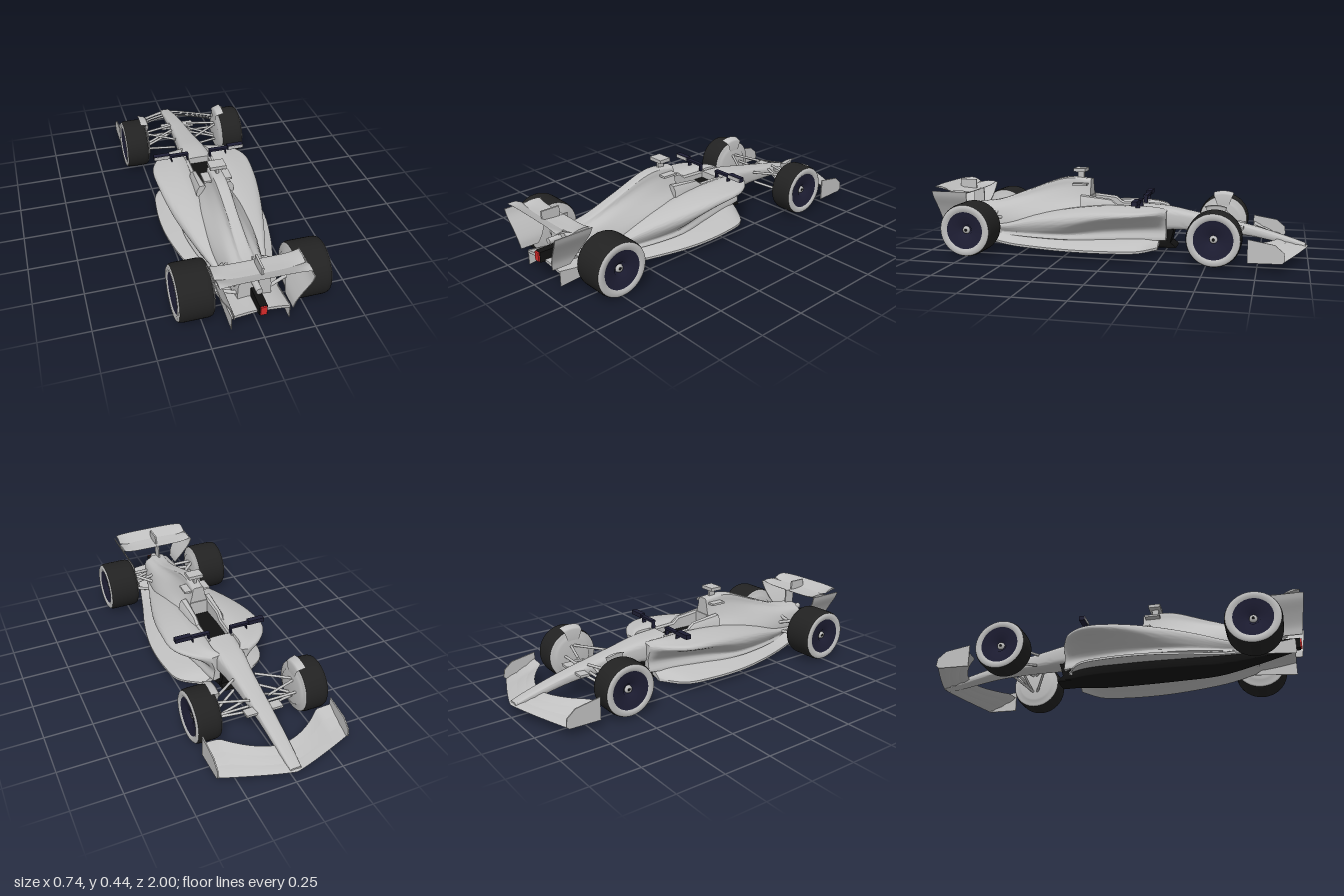
import * as THREE from 'three';
import { toCreasedNormals } from 'three/addons/utils/BufferGeometryUtils.js';

const mat = (name, color, side = THREE.FrontSide) => {
  const m = new THREE.MeshStandardMaterial({ color, side });
  m.name = name;
  return m;
};
const grey = mat('bodyGrey', 0xc0c0c0, THREE.DoubleSide);
const rubber = mat('tyreBlack', 0x222222);
const navy = mat('darkNavy', 0x1e1e34);
const black = mat('carbonBlack', 0x121212, THREE.DoubleSide);
const red = mat('lightRed', 0xd82a2a);
const V = (p) => new THREE.Vector3(...p);

// Closed skin over a list of rings, capped at both ends and always facing outwards
function loft(rings, crease = 0.6) {
  const n = rings[0].length, pos = rings.flat(), idx = [];
  for (let i = 0; i < rings.length - 1; i++) for (let j = 0; j < n; j++) {
    const a = i * n + j, b = i * n + (j + 1) % n;
    idx.push([a, b, b + n], [a, b + n, a + n]);
  }
  [0, rings.length - 1].forEach((r, e) => {
    const c = pos.length;
    pos.push(rings[r].reduce((s, p) => s.map((v, k) => v + p[k] / n), [0, 0, 0]));
    for (let j = 0; j < n; j++) {
      const a = r * n + j, b = r * n + (j + 1) % n;
      idx.push(e ? [a, b, c] : [b, a, c]);
    }
  });
  const volume = idx.reduce((s, t) => s + V(pos[t[0]]).dot(V(pos[t[1]]).cross(V(pos[t[2]]))), 0);
  if (volume < 0) idx.forEach((t) => t.reverse());
  const g = new THREE.BufferGeometry();
  g.setAttribute('position', new THREE.Float32BufferAttribute(pos.flat(), 3));
  g.setIndex(idx.flat());
  return toCreasedNormals(g, crease);
}
// Resample rings along the body, and points around a ring
function smooth(rings, n = 32) {
  const cols = rings[0].map((_, j) => new THREE.CatmullRomCurve3(rings.map((r) => V(r[j]))).getPoints(n));
  return Array.from({ length: n + 1 }, (_, i) => cols.map((c) => c[i].toArray()));
}
const around = (ring, m = 36) => new THREE.CatmullRomCurve3(ring.map(V), true).getPoints(m).slice(0, m).map((p) => p.toArray());
// Rounded-square section: z, half width, bottom, top
const oval = (n, m = 32) => ([z, w, yb, yt]) => Array.from({ length: m }, (_, i) => {
  const a = (i / m) * Math.PI * 2, f = (v) => Math.sign(v) * Math.abs(v) ** (2 / n);
  return [w * f(Math.cos(a)), (yt + yb) / 2 + (yt - yb) / 2 * f(Math.sin(a)), z];
});

export function createModel() {
  const car = new THREE.Group();
  car.name = 'racingCar';
  const add = (name, geo, m, parent = car) => {
    const mesh = new THREE.Mesh(geo, m);
    mesh.name = name;
    parent.add(mesh);
    return mesh;
  };
  const box = (name, m, x0, x1, y0, y1, z0, z1) =>
    add(name, new THREE.BoxGeometry(x1 - x0, y1 - y0, z1 - z0), m)
      .position.set((x0 + x1) / 2, (y0 + y1) / 2, (z0 + z1) / 2);
  const rod = (name, a, b, r) => {
    const A = V(a), B = V(b);
    const mesh = add(name, new THREE.CylinderGeometry(r, r, A.distanceTo(B), 10), grey);
    mesh.position.copy(A).lerp(B, 0.5);
    mesh.quaternion.setFromUnitVectors(new THREE.Vector3(0, 1, 0), B.sub(A).normalize());
  };
  // Flat plate from a z, y outline between two x positions
  const plate = (name, m, x0, x1, pts) => add(name, loft([x0, x1].map((x) => pts.map(([z, y]) => [x, y, z]))), m);

  // Nose and front of the tub
  add('nose', loft(smooth([
    [-0.985, 0.028, 0.062, 0.082], [-0.9, 0.034, 0.075, 0.11], [-0.7, 0.042, 0.112, 0.165],
    [-0.55, 0.05, 0.125, 0.195], [-0.4, 0.06, 0.13, 0.225], [-0.27, 0.076, 0.128, 0.248],
    [-0.13, 0.09, 0.09, 0.257]].map(oval(4)))), grey);

  // Engine cover and airbox: z, top, crown half width, shoulder y and x, base x and y
  add('engineCover', loft(smooth([
    [0.155, 0.388, 0.037, 0.28, 0.058, 0.105, 0.205], [0.3, 0.393, 0.037, 0.275, 0.07, 0.122, 0.2],
    [0.5, 0.325, 0.034, 0.25, 0.073, 0.122, 0.17], [0.69, 0.258, 0.038, 0.22, 0.076, 0.1, 0.15],
    [0.84, 0.238, 0.045, 0.205, 0.074, 0.081, 0.14]].map(([z, yt, a, ym, m, b, yl]) => {
    const half = [[a * 0.75, yt - 0.003], [a, yt - 0.4 * (yt - ym)], [m, ym], [b, yl], [b * 0.95, 0.105]];
    return around([[0, yt, z], ...half.map(([x, y]) => [x, y, z]), [0, 0.1, z],
      ...half.reverse().map(([x, y]) => [-x, y, z])], 44);
  }))), grey);

  // Floor arched over two tunnels: z, half width, edge y, tunnel height
  add('floor', loft(smooth([
    [-0.23, 0.13, 0.036, 0.05], [-0.14, 0.245, 0.036, 0.05], [0, 0.277, 0.036, 0.05], [0.2, 0.28, 0.036, 0.05],
    [0.4, 0.245, 0.036, 0.05], [0.6, 0.188, 0.04, 0.052], [0.8, 0.142, 0.075, 0.03],
    [0.94, 0.14, 0.098, 0.014]].map(([z, w, ye, d]) => {
    const arch = (lift) => Array.from({ length: 21 }, (_, i) => {
      const u = i / 10 - 1;
      return [w * u, ye + lift + d * (1 - Math.abs(u) ** 2.5), z];
    });
    return [...arch(0), ...arch(0.012).reverse()];
  }))), grey);
  // Black keel narrowing and rising to the tail, with a splitter ahead of it
  add('keel', loft(smooth([
    [-0.27, 0.06, 0.034, 0.08], [-0.1, 0.097, 0.03, 0.095], [0.35, 0.095, 0.03, 0.095], [0.55, 0.078, 0.033, 0.1],
    [0.75, 0.046, 0.066, 0.105], [0.94, 0.02, 0.108, 0.122]].map(oval(7)))), black);
  plate('splitter', black, -0.058, 0.058,
    [[-0.21, 0.034], [-0.317, 0.034], [-0.31, 0.045], [-0.285, 0.06], [-0.305, 0.135], [-0.21, 0.135]]);

  // Cockpit floor, headrest, airbox fins and camera
  box('cockpitFloor', black, -0.057, 0.057, 0.1, 0.22, -0.135, 0.156);
  box('headrest', grey, -0.05, 0.05, 0.2, 0.3, 0.15, 0.2);
  box('airboxFin', grey, -0.074, 0.074, 0.356, 0.367, 0.17, 0.25);
  box('cameraStalk', grey, -0.007, 0.007, 0.385, 0.43, 0.2, 0.235);
  box('cameraPod', grey, -0.042, 0.042, 0.427, 0.445, 0.185, 0.25);

  // Exhaust and rain light
  const exhaust = add('exhaust', new THREE.CylinderGeometry(0.016, 0.016, 0.09, 24), grey);
  exhaust.rotation.x = Math.PI / 2;
  exhaust.position.set(0, 0.2, 0.86);
  box('rainLightHousing', black, -0.019, 0.019, 0.116, 0.169, 0.83, 0.965);
  box('rainLight', red, -0.015, 0.015, 0.121, 0.167, 0.965, 0.973);

  // Rear wing elements, strut and flap actuator
  const rearElement = (name, z0, y0, z1, y1, belly) => add(name, loft(Array.from({ length: 25 }, (_, i) => {
    const s = i / 12 - 1, x = 0.213 * s, lift = 0.014 * s ** 6, drop = 0.008 * s ** 4;
    const zm = (z0 + z1) / 2, ym = (y0 + y1) / 2;
    return around([[x, y0 + lift, z0], [x, ym + lift, zm], [x, y1 - drop, z1], [x, ym - belly + lift, zm]], 20);
  })), grey);
  rearElement('rearWingMain', 0.81, 0.312, 0.925, 0.318, 0.02);
  rearElement('rearWingFlap', 0.905, 0.314, 0.985, 0.353, 0.01);
  box('rearWingStrut', grey, -0.004, 0.004, 0.2, 0.315, 0.79, 0.85);
  box('flapActuator', grey, -0.005, 0.005, 0.31, 0.364, 0.835, 0.93);

  // Front wing: stepped, swept elements
  const frontWing = (s, k) => {
    const a = Math.abs(s), z0 = -1 + 0.125 * a ** 1.15, z1 = -0.845 + 0.133 * Math.min(1, a * 1.3) ** 1.9;
    return [0.34 * s, 0.07 - 0.02 * a + k ** 1.3 * (0.03 + 0.04 * a), z0 + (z1 - z0) * k];
  };
  for (let e = 0; e < 3; e++) {
    add('frontWingElement', loft(Array.from({ length: 41 }, (_, i) => {
      const s = i / 20 - 1, a = frontWing(s, e / 3), b = frontWing(s, e / 3 + 0.345);
      const mid = (h) => [a[0], (a[1] + b[1]) / 2 + h, (a[2] + b[2]) / 2];
      return [a, mid(0.004), [b[0], b[1] + 0.003, b[2]], mid(-0.004)];
    })), grey);
  }

  for (const s of [1, -1]) {
    const sx = (x0, x1) => (s > 0 ? [x0, x1] : [-x1, -x0]);

    // Cockpit side wall: z, inner x, outer x, top
    add('cockpitWall', loft([[-0.15, 0.054, 0.089, 0.256], [0, 0.056, 0.095, 0.26], [0.035, 0.056, 0.095, 0.288],
      [0.2, 0.05, 0.1, 0.305]].map(([z, a, b, t]) =>
      [[a, 0.095, z], [a, t - 0.01, z], [a + 0.008, t, z], [b - 0.015, t - 0.003, z], [b, t - 0.03, z], [b + 0.005, 0.095, z]]
        .map(([x, y, w]) => [s * x, y, w]))), grey);

    // Undercut sidepod: z, outer x, top, lip depth, undercut x
    add('sidepod', loft(smooth([[-0.268, 0.11, 0.238, 0.03, 0.085], [-0.225, 0.19, 0.25, 0.03, 0.095],
      [-0.12, 0.262, 0.253, 0.035, 0.115], [0.05, 0.264, 0.25, 0.055, 0.15], [0.25, 0.235, 0.228, 0.08, 0.185],
      [0.45, 0.185, 0.19, 0.06, 0.165], [0.62, 0.135, 0.145, 0.03, 0.12], [0.75, 0.1, 0.125, 0.012, 0.09]]
      .map(([z, xo, t, lip, xu]) => {
        const xi = Math.min(0.075, xo - 0.06), low = t - lip;
        return around([[xi, t, z], [xo - 0.04, t - 0.002, z], [xo - 0.004, t - 0.3 * lip, z], [xo, t - 0.7 * lip, z],
          [(xo + xu) / 2, low - 0.2 * (low - 0.08), z], [xu, low - 0.6 * (low - 0.08), z], [xu + 0.01, 0.082, z], [xi, 0.095, z]]
          .map(([x, y, w]) => [s * x, y, w]));
      }))), grey);

    // Diffuser fences and front endplates
    plate('diffuserFence', grey, s * 0.138, s * 0.142, [[0.72, 0.05], [0.94, 0.032], [0.94, 0.112], [0.78, 0.09]]);
    plate('frontEndplate', grey, s * 0.34, s * 0.346,
      [[-0.705, 0.043], [-0.705, 0.16], [-0.835, 0.138], [-0.88, 0.1], [-0.885, 0.06], [-0.87, 0.046]]);

    // Rear endplate curving inwards as it drops: y, x, front z, back z
    add('rearEndplate', loft(smooth([[0.322, 0.217, 0.8, 1], [0.29, 0.206, 0.805, 0.998], [0.23, 0.172, 0.82, 0.99],
      [0.17, 0.144, 0.85, 0.982], [0.13, 0.137, 0.88, 0.975]].map(([y, x, a, b]) =>
      [[s * x, y, a], [s * x, y, b], [s * (x + 0.005), y, b], [s * (x + 0.005), y, a]]), 16)), grey);

    // Mirrors with grey glass, on a bar with thin legs; nose camera pods
    box('mirrorBar', navy, ...sx(0.06, 0.17), 0.286, 0.298, -0.142, -0.118);
    box('mirrorHousing', navy, ...sx(0.165, 0.254), 0.285, 0.308, -0.145, -0.115);
    box('mirrorGlass', grey, ...sx(0.168, 0.252), 0.288, 0.306, -0.116, -0.113);
    box('mirrorLeg', navy, ...sx(0.153, 0.157), 0.248, 0.29, -0.14, -0.118);
    box('mirrorFoot', navy, ...sx(0.06, 0.068), 0.25, 0.29, -0.14, -0.12);
    box('nosePod', grey, ...sx(0.04, 0.098), 0.155, 0.168, -0.67, -0.62);

    // Suspension arms
    [[0.05, 0.195, -0.6, 0.22, 0.2, -0.55], [0.06, 0.2, -0.43, 0.22, 0.2, -0.54], [0.045, 0.135, -0.61, 0.22, 0.1, -0.55],
      [0.06, 0.14, -0.44, 0.22, 0.1, -0.53], [0.05, 0.18, -0.57, 0.22, 0.11, -0.56], [0.05, 0.15, -0.59, 0.22, 0.15, -0.59],
      [0.08, 0.165, 0.64, 0.2, 0.195, 0.74], [0.075, 0.165, 0.8, 0.2, 0.19, 0.76], [0.085, 0.13, 0.62, 0.2, 0.1, 0.74],
      [0.075, 0.135, 0.82, 0.2, 0.14, 0.77], [0.08, 0.2, 0.68, 0.2, 0.12, 0.75]]
      .forEach(([x0, y0, z0, x1, y1, z1]) => rod('suspensionArm', [s * x0, y0, z0], [s * x1, y1, z1], z0 > 0 ? 0.009 : 0.007));

    // Wheels, turned about the axle with the outer face at +y of the profile
    for (const [name, x, y, z, R, h] of [['frontWheel', 0.288, 0.147, -0.54, 0.137, 0.066],
      ['rearWheel', 0.285, 0.142, 0.75, 0.14, 0.087]]) {
      const wheel = new THREE.Group();
      wheel.name = name;
      wheel.position.set(s * x, y, z);
      wheel.rotation.z = -s * Math.PI / 2;
      car.add(wheel);
      const turn = (part, m, pts, ...arc) => add(part,
        new THREE.LatheGeometry(pts.map((p) => new THREE.Vector2(...p)), 56, ...arc), m, wheel);
      turn('tyreTread', rubber, [[R - 0.006, -h + 0.006], [R - 0.002, -h + 0.016], [R, -h + 0.03], [R, h - 0.03],
        [R - 0.002, h - 0.016], [R - 0.006, h - 0.006]]);
      turn('outerSidewall', grey, [[R - 0.006, h - 0.006], [R - 0.014, h], [R - 0.03, h], [0.098, h - 0.006]]);
      turn('innerSidewall', grey, [[0, -h - 0.012], [0.09, -h - 0.012], [0.098, -h], [R - 0.014, -h], [R - 0.006, -h + 0.006]]);
      turn('wheelCover', navy, [[0.099, h - 0.006], [0.085, h - 0.01], [0.035, h - 0.016], [0.026, h - 0.032], [0, h - 0.032]]);
      turn('wheelNut', grey, [[0.02, h - 0.033], [0.018, h - 0.024], [0.007, h - 0.022]]);
      turn('wheelNutCentre', black, [[0.007, h - 0.022], [0, h - 0.024]]);
      // Deflector hugging the top of the front tyre
      if (z < 0) turn('wheelDeflector', grey, [[0.085, -h - 0.014], [0.143, -h - 0.016], [0.15, -h - 0.004], [0.16, -0.035]],
        -s * Math.PI / 2 - 0.36, 0.72);
    }
  }
  return car;
}
